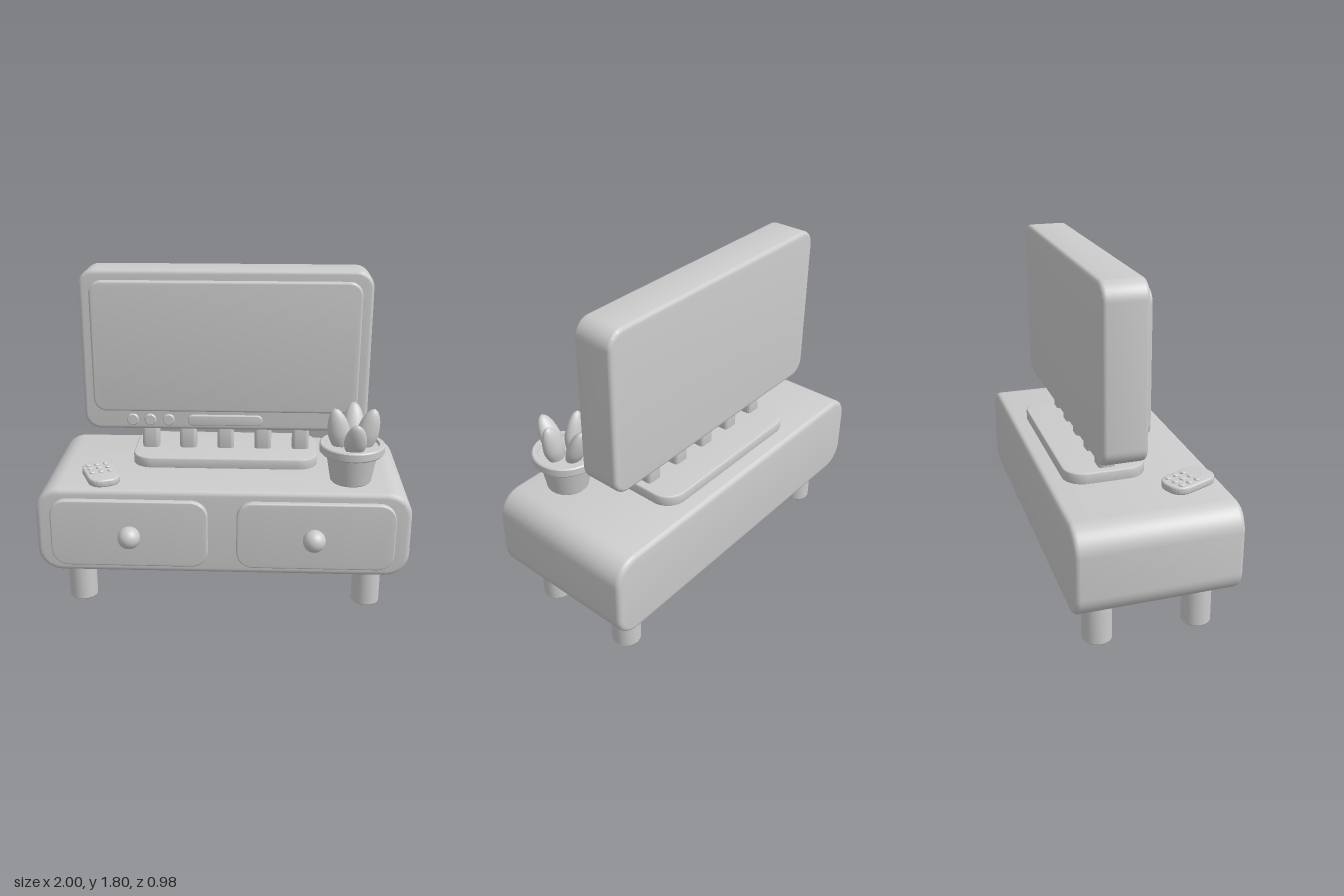
import * as THREE from 'three';
import { toCreasedNormals } from 'three/addons/utils/BufferGeometryUtils.js';

const material = new THREE.MeshStandardMaterial({ color: 0xcccccc });

function add(parent, name, geometry, x = 0, y = 0, z = 0) {
  const mesh = new THREE.Mesh(geometry, material);
  mesh.name = name;
  mesh.position.set(x, y, z);
  parent.add(mesh);
  return mesh;
}

// Rounded rectangle w x h with corner radius r, extruded to depth d, centred, edges bevelled by b
function slab(w, h, d, r, b) {
  const s = new THREE.Shape();
  const x = w / 2, y = h / 2;
  s.moveTo(-x + r, -y);
  s.lineTo(x - r, -y);
  s.absarc(x - r, -y + r, r, -Math.PI / 2, 0);
  s.lineTo(x, y - r);
  s.absarc(x - r, y - r, r, 0, Math.PI / 2);
  s.lineTo(-x + r, y);
  s.absarc(-x + r, y - r, r, Math.PI / 2, Math.PI);
  s.lineTo(-x, -y + r);
  s.absarc(-x + r, -y + r, r, Math.PI, Math.PI * 1.5);
  const g = new THREE.ExtrudeGeometry(s, {
    depth: d - 2 * b, curveSegments: 7, bevelEnabled: true,
    bevelThickness: b, bevelSize: b, bevelOffset: -b, bevelSegments: 3,
  });
  g.translate(0, 0, -d / 2 + b);
  return toCreasedNormals(g, 0.6);
}

// The same slab lying flat
const flatSlab = (w, h, d, r, b) => slab(w, d, h, r, b).rotateX(-Math.PI / 2);

function lathe(points, segments = 32, crease = 0.6) {
  const g = new THREE.LatheGeometry(points.map(([r, y]) => new THREE.Vector2(r, y)), segments);
  return toCreasedNormals(g, crease);
}

function buildCabinet() {
  const g = new THREE.Group();
  g.name = 'cabinet';
  add(g, 'cabinetBody', slab(2, 0.48, 0.85, 0.13, 0.025), 0, 0.475, -0.065);

  const leg = lathe([[0, 0], [0.07, 0], [0.077, 0.008], [0.077, 0.25], [0, 0.25]]);
  for (const x of [-0.795, 0.795])
    for (const z of [0.2, -0.33]) add(g, 'leg', leg, x, 0, z);

  for (const x of [-0.498, 0.495]) {
    add(g, 'drawer', slab(0.84, 0.38, 0.06, 0.09, 0.008), x, 0.475, 0.36);
    add(g, 'drawerKnob', new THREE.SphereGeometry(0.06, 28, 20), x < 0 ? -0.49 : 0.485, 0.477, 0.433);
  }
  return g;
}

function buildTelevision() {
  const g = new THREE.Group();
  g.name = 'television';
  add(g, 'televisionCase', slab(1.575, 0.895, 0.225, 0.09, 0.02), -0.002, 1.352, -0.178);
  add(g, 'screen', slab(1.455, 0.725, 0.06, 0.07, 0.012), -0.002, 1.382, -0.065);

  // Control row under the screen
  const dial = lathe([[0, 0], [0.033, 0], [0.033, 0.034], [0.028, 0.04], [0, 0.04]], 24)
    .rotateX(Math.PI / 2);
  for (const x of [-0.517, -0.42, -0.317]) add(g, 'dial', dial, x, 0.965, -0.09);
  add(g, 'controlBar', slab(0.415, 0.06, 0.04, 0.028, 0.006), -0.002, 0.965, -0.07);

  // Stand
  add(g, 'standBase', flatSlab(1.035, 0.065, 0.435, 0.11, 0.008), -0.002, 0.74, -0.18);
  for (let i = 0; i < 5; i++)
    add(g, 'standPost', flatSlab(0.095, 0.18, 0.09, 0.02, 0.004), -0.43 + i * 0.2135, 0.835, -0.175);
  return g;
}

function buildPlant() {
  const g = new THREE.Group();
  g.name = 'pottedPlant';
  g.position.set(0.685, 0.715, 0.165);
  add(g, 'pot', lathe([
    [0, 0], [0.104, 0], [0.11, 0.006], [0.138, 0.165], [0.168, 0.165], [0.174, 0.172],
    [0.174, 0.21], [0.168, 0.216], [0.145, 0.216], [0.14, 0.2], [0, 0.2],
  ], 40));

  // Tapering leaves leaning outwards: offset x, z and tip offset x, y, z
  const leaf = new THREE.LatheGeometry(new THREE.SplineCurve([
    [0, 0], [0.036, 0.02], [0.053, 0.07], [0.057, 0.115], [0.045, 0.18], [0.023, 0.225], [0, 0.24],
  ].map(([r, y]) => new THREE.Vector2(Math.max(r, 0), y))).getPoints(18), 20);
  const up = new THREE.Vector3(0, 1, 0);
  const leaves = [
    [-0.05, 0, -0.1, 0.405, 0],
    [0.05, 0, 0.11, 0.405, 0],
    [0.005, 0.055, 0.005, 0.365, 0.16],
    [0.01, -0.055, 0.015, 0.395, -0.15],
  ];
  for (const [x, z, tx, ty, tz] of leaves) {
    const base = new THREE.Vector3(x, 0.165, z);
    const axis = new THREE.Vector3(tx, ty, tz).sub(base);
    const m = add(g, 'leaf', leaf, x, 0.165, z);
    m.scale.set(1.05, axis.length() / 0.24, 0.76);
    m.quaternion.setFromUnitVectors(up, axis.normalize());
  }
  return g;
}

function buildRemote() {
  const g = new THREE.Group();
  g.name = 'remoteControl';
  g.position.set(-0.667, 0.715, 0.187);
  g.rotation.y = 0.4;
  add(g, 'remoteBody', flatSlab(0.172, 0.04, 0.28, 0.07, 0.008), 0, 0.02, 0);
  const key = lathe([[0, 0], [0.017, 0], [0.017, 0.012], [0.013, 0.016], [0, 0.016]], 16);
  for (let row = 0; row < 3; row++)
    for (let col = -1; col <= 1; col++)
      add(g, 'remoteKey', key, col * 0.049, 0.032, -0.09 + row * 0.052);
  add(g, 'remoteLight', new THREE.SphereGeometry(0.006, 10, 8), -0.02, 0.039, 0.075);
  return g;
}

export function createModel() {
  const model = new THREE.Group();
  model.name = 'televisionCabinet';
  model.add(buildCabinet(), buildTelevision(), buildPlant(), buildRemote());
  return model;
}
